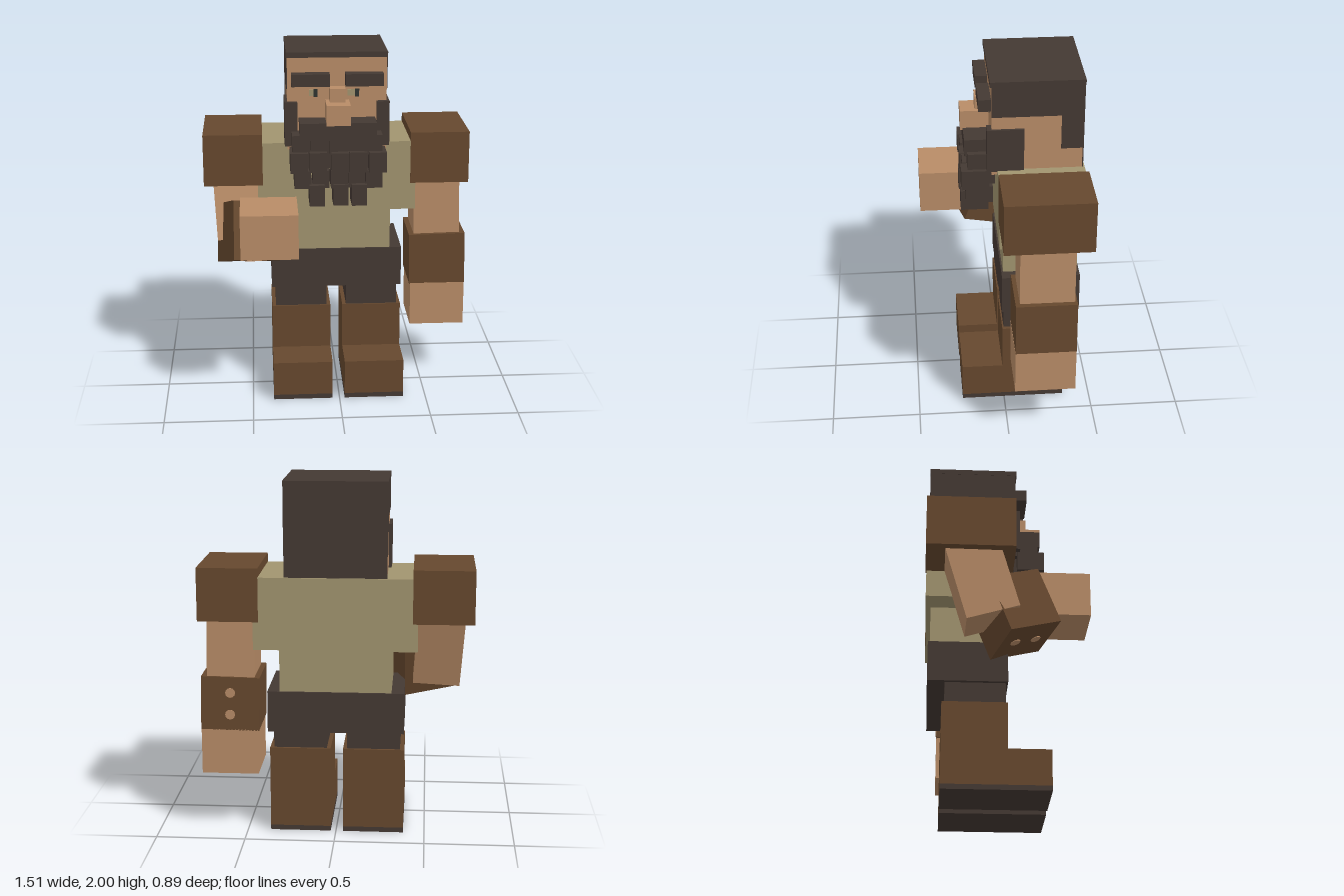
import * as THREE from 'three';

export function createModel() {
  const root = new THREE.Group();
  root.name = 'blockyBeardedMan';
  const mat = (name, color) => {
    const m = new THREE.MeshStandardMaterial({ color });
    m.name = name;
    return m;
  };
  const skin = mat('skin', 0xb88c67);
  const leather = mat('brownLeather', 0x66482e);
  const dark = mat('darkHairAndCloth', 0x443933);
  const shirt = mat('oliveShirt', 0xa1946f);
  const pupil = mat('pupil', 0x2f3430);

  // Box given by its extents on each axis
  const box = (name, m, x0, x1, y0, y1, z0, z1, parent = root) => {
    const mesh = new THREE.Mesh(new THREE.BoxGeometry(x1 - x0, y1 - y0, z1 - z0), m);
    mesh.position.set((x0 + x1) / 2, (y0 + y1) / 2, (z0 + z1) / 2);
    mesh.name = name;
    parent.add(mesh);
    return mesh;
  };

  // Torso
  box('chest', shirt, -0.45, 0.445, 1.08, 1.48, -0.443, 0.032);
  box('waist', shirt, -0.31, 0.305, 0.84, 1.08, -0.415, 0.003);
  box('hips', dark, -0.38, 0.372, 0.61, 0.84, -0.425, 0.012);

  // Legs and boots
  for (const [side, x] of [['right', -0.21], ['left', 0.2]]) {
    const leg = new THREE.Group();
    leg.name = side + 'Leg';
    leg.position.x = x;
    root.add(leg);
    box('thigh', dark, -0.148, 0.148, 0.48, 0.62, -0.33, 0.002, leg);
    box('bootShaft', leather, -0.17, 0.17, 0.028, 0.49, -0.345, 0.01, leg);
    box('bootToe', leather, -0.17, 0.17, 0.028, 0.228, 0.01, 0.243, leg);
    box('sole', dark, -0.17, 0.17, 0, 0.028, -0.345, 0.243, leg);
  }

  // Head, hair and sideburns
  const head = new THREE.Group();
  head.name = 'head';
  root.add(head);
  box('skull', skin, -0.28, 0.272, 1.45, 1.97, -0.428, 0.062, head);
  box('hairTop', dark, -0.285, 0.277, 1.97, 2, -0.436, 0.07, head);
  box('hairBack', dark, -0.282, 0.274, 1.48, 1.97, -0.434, -0.428, head);
  for (const [x0, x1] of [[-0.284, -0.28], [0.272, 0.276]]) {
    box('hairSide', dark, x0, x1, 1.795, 1.97, -0.312, 0.062, head);
    box('hairSideBack', dark, x0, x1, 1.598, 1.97, -0.43, -0.312, head);
  }
  box('rightSideburn', dark, -0.296, -0.225, 1.475, 1.725, -0.112, 0.088, head);
  box('leftSideburn', dark, 0.217, 0.287, 1.475, 1.725, -0.112, 0.088, head);

  // Face
  box('rightEyebrow', dark, -0.258, -0.047, 1.82, 1.888, 0.05, 0.13, head);
  box('leftEyebrow', dark, 0.04, 0.25, 1.82, 1.888, 0.05, 0.13, head);
  box('noseBridge', skin, -0.047, 0.039, 1.73, 1.808, 0.05, 0.138, head);
  box('noseTip', skin, -0.07, 0.062, 1.62, 1.733, 0.05, 0.218, head);
  for (const [eye, dot] of [[-0.16, -0.135], [0.055, 0.095]]) {
    box('eyeWhite', shirt, eye, dot, 1.755, 1.79, 0.062, 0.065, head);
    box('pupil', pupil, dot, dot + 0.024, 1.75, 1.793, 0.062, 0.066, head);
  }

  // Beard: a moustache bar and hanging rows of blocks
  const beard = new THREE.Group();
  beard.name = 'beard';
  head.add(beard);
  box('moustache', dark, -0.217, 0.208, 1.535, 1.632, 0.04, 0.205, beard);
  const rows = [
    { y: [1.45, 1.56], z: [0.053, 0.19], xs: [-0.258, -0.155, -0.05, 0.045, 0.14], w: 0.1 },
    { y: [1.355, 1.468], z: [0.072, 0.225], xs: [-0.27, -0.165, -0.043, 0.058, 0.165], w: 0.097 },
    { y: [1.26, 1.36], z: [0.053, 0.2], xs: [-0.248, -0.146, -0.045, 0.052, 0.148], w: 0.093 },
    { y: [1.165, 1.285], z: [0.072, 0.225], xs: [-0.165, -0.033, 0.069], w: 0.084 },
  ];
  for (const { y, z, xs, w } of rows) {
    xs.forEach((x, i) => {
      const inset = (i % 2) * 0.01;
      box('beardBlock', dark, x, x + w, y[0], y[1], z[0], z[1] - inset, beard);
    });
  }
  box('chinHair', dark, -0.22, 0.21, 1.36, 1.55, 0.04, 0.14, beard);

  // Shoulder pads
  box('rightShoulderPad', leather, -0.755, -0.422, 1.235, 1.53, -0.447, 0.035);
  box('leftShoulderPad', leather, 0.415, 0.748, 1.235, 1.53, -0.447, 0.035);

  // Bracer with two round studs on its back
  const bracer = (name) => {
    const g = new THREE.Group();
    g.name = name;
    box('cuff', leather, -0.163, 0.163, -0.153, 0.153, -0.167, 0.167, g);
    for (const y of [0.063, -0.063]) {
      const stud = new THREE.Mesh(new THREE.CylinderGeometry(0.028, 0.028, 0.006, 12), skin);
      stud.name = 'stud';
      stud.rotation.x = Math.PI / 2;
      stud.position.set(0, y, -0.168);
      g.add(stud);
    }
    root.add(g);
    return g;
  };

  // Hanging left arm
  box('leftUpperArm', skin, 0.448, 0.714, 0.85, 1.3, -0.352, -0.055).rotation.z = 0.02;
  const leftBracer = bracer('leftBracer');
  leftBracer.position.set(0.588, 0.748, -0.198);
  leftBracer.rotation.z = 0.02;
  box('leftHand', skin, 0.434, 0.752, 0.34, 0.598, -0.365, -0.03);

  // Raised right arm: upper arm leans forward, forearm points to the front
  const upper = box('rightUpperArm', skin, -0.13, 0.13, -0.21, 0.21, -0.147, 0.147);
  upper.position.set(-0.567, 1.085, -0.145);
  upper.rotation.set(-0.29, 0, 0.06);
  const rightBracer = bracer('rightBracer');
  const along = new THREE.Vector3(0.32, 0.34, 0.885).normalize();
  const up = new THREE.Vector3(0.004, 0.934, -0.36).normalize();
  const across = new THREE.Vector3().crossVectors(up, along).negate();
  across.crossVectors(along.clone().negate(), up);
  rightBracer.quaternion.setFromRotationMatrix(
    new THREE.Matrix4().makeBasis(across, along.clone().negate(), up));
  rightBracer.position.set(-0.484, 0.963, 0.038);
  box('rightHand', skin, -0.552, -0.235, 0.935, 1.187, 0.107, 0.448);

  return root;
}
